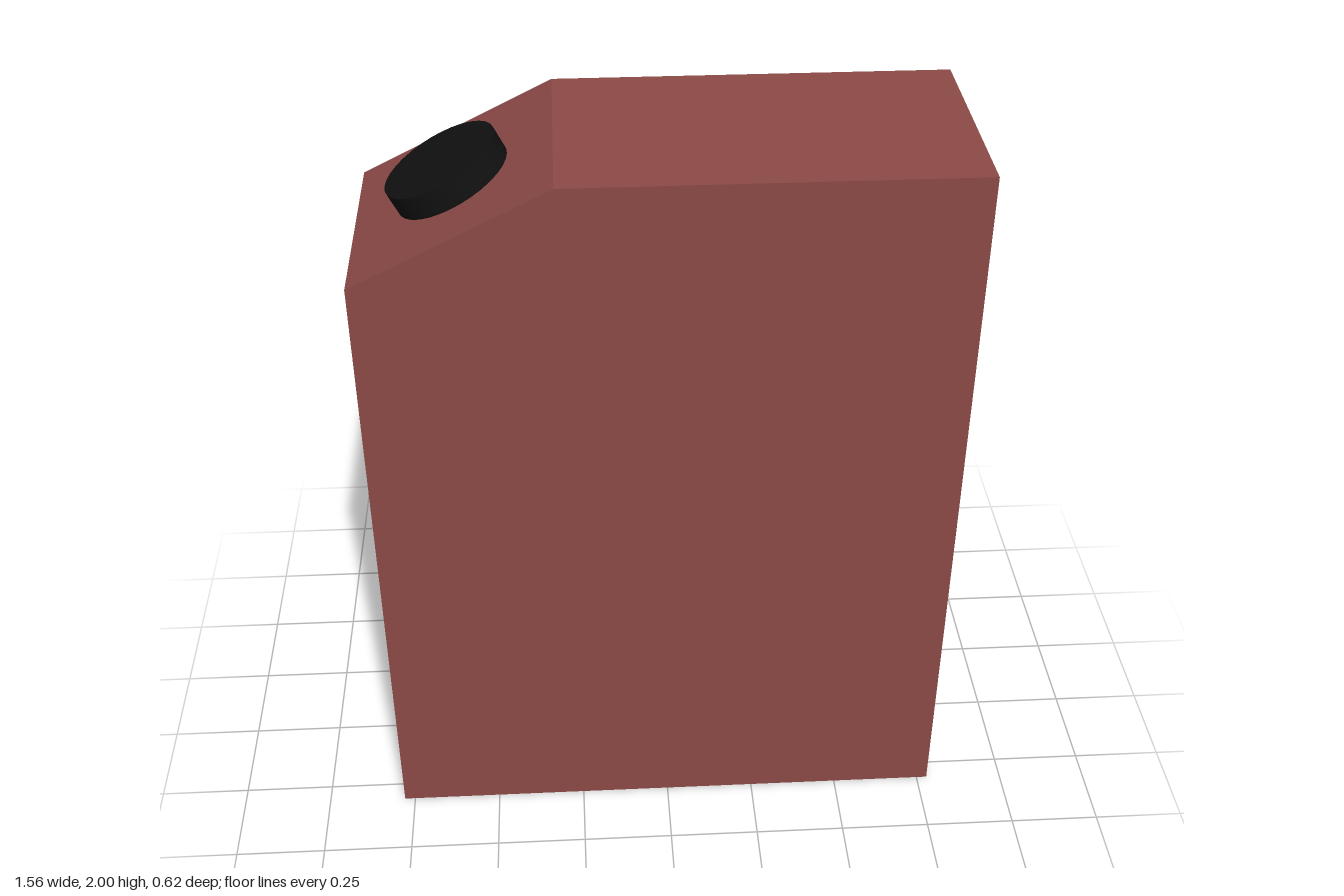
import * as THREE from 'three';

export function createModel() {
  const model = new THREE.Group();
  const halfWidth = 0.78, depth = 0.62, height = 2;
  const shoulderX = -0.27, shoulderY = 1.745;

  // Canister body: rectangle with one sloping shoulder, extruded front to back
  const outline = new THREE.Shape([
    new THREE.Vector2(-halfWidth, 0),
    new THREE.Vector2(halfWidth, 0),
    new THREE.Vector2(halfWidth, height),
    new THREE.Vector2(shoulderX, height),
    new THREE.Vector2(-halfWidth, shoulderY),
  ]);
  const bodyGeometry = new THREE.ExtrudeGeometry(outline, { depth, bevelEnabled: false });
  bodyGeometry.translate(0, 0, -depth / 2);
  const body = new THREE.Mesh(bodyGeometry, new THREE.MeshStandardMaterial({ color: 0x8c4a46 }));
  body.name = 'canisterBody';
  model.add(body);

  // Round cap standing square to the sloping shoulder
  const capHeight = 0.065;
  const slope = Math.atan2(height - shoulderY, shoulderX + halfWidth);
  const capGeometry = new THREE.CylinderGeometry(0.157, 0.157, capHeight, 32);
  capGeometry.translate(0, capHeight / 2, 0);
  const cap = new THREE.Mesh(capGeometry, new THREE.MeshStandardMaterial({ color: 0x111111 }));
  cap.name = 'cap';
  const capX = -0.525;
  cap.position.set(capX, shoulderY + (capX + halfWidth) * Math.tan(slope), 0);
  cap.rotation.z = slope;
  model.add(cap);

  return model;
}
